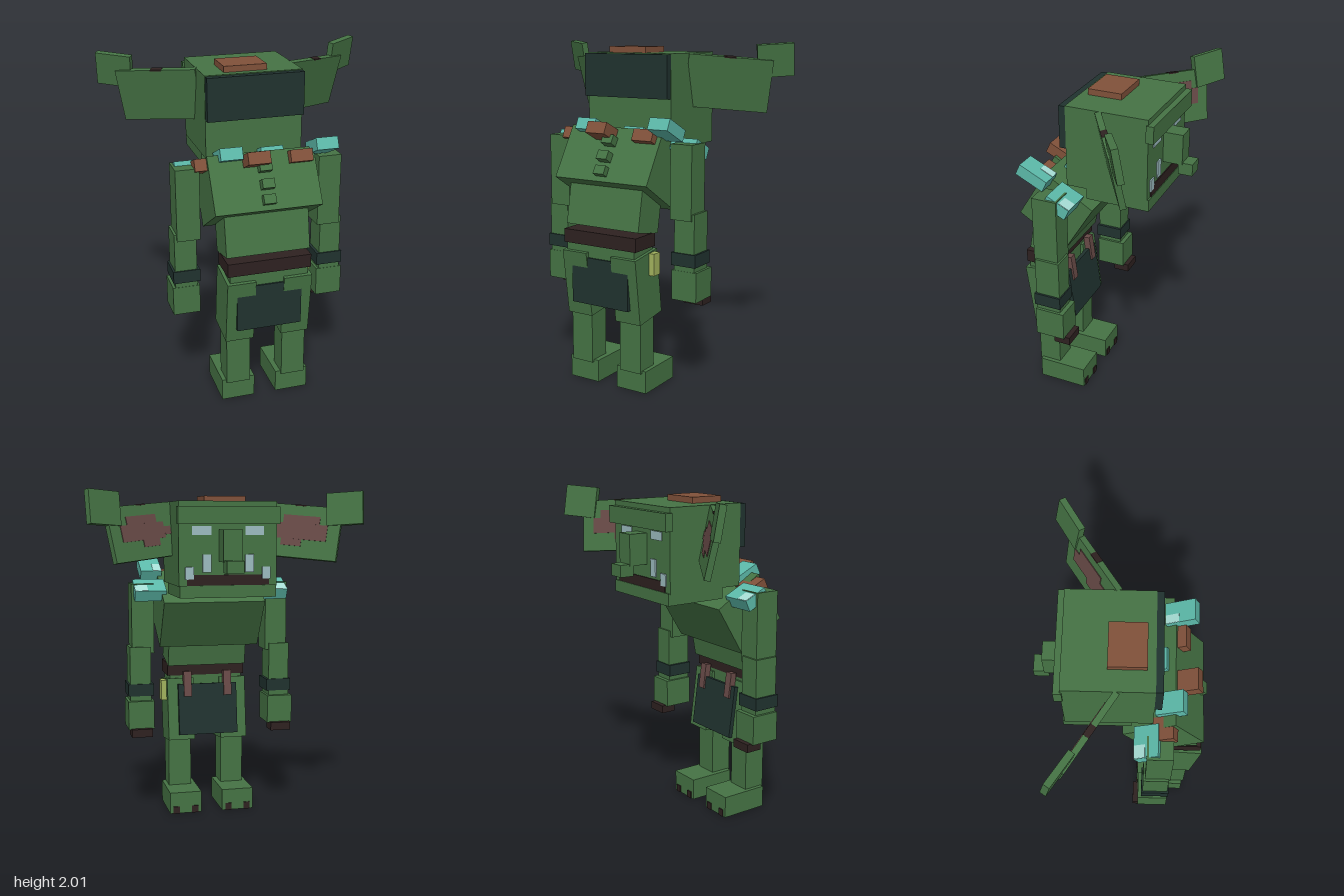
import * as THREE from 'three';

const mat = (name, color) => {
  const m = new THREE.MeshStandardMaterial({ color });
  m.name = name;
  return m;
};

export function createModel() {
  const green = mat('skin green', 0x457344);
  const slate = mat('dark cloth', 0x20322f);
  const maroon = mat('dark leather', 0x2e2120);
  const brown = mat('brown leather', 0x80513a);
  const teal = mat('teal scale', 0x5cb9a9);
  const pale = mat('pale teal', 0xa6dcd4);
  const pink = mat('inner ear', 0x684a47);
  const yellow = mat('pouch yellow', 0xa3b35e);
  const bone = mat('bone', 0x9dbcc0);
  const model = new THREE.Group();

  // Box from its extents, optionally tilted about x through its centre
  const box = (name, m, [x0, x1], [y0, y1], [z0, z1], tilt = 0) => {
    const mesh = new THREE.Mesh(new THREE.BoxGeometry(x1 - x0, y1 - y0, z1 - z0), m);
    mesh.position.set((x0 + x1) / 2, (y0 + y1) / 2, (z0 + z1) / 2);
    mesh.rotation.x = tilt;
    mesh.name = name;
    model.add(mesh);
    return mesh;
  };
  // Same box on both sides
  const pair = (name, m, [x0, x1], y, z, tilt = 0) => {
    box(name + 'Left', m, [x0, x1], y, z, tilt);
    box(name + 'Right', m, [-x1, -x0], y, z, tilt);
  };

  // Head, hair plate and cap
  box('head', green, [-0.287, 0.287], [1.47, 1.95], [-0.32, 0.17]);
  box('jaw', green, [-0.283, 0.283], [1.405, 1.475], [-0.33, 0.05]);
  box('brow', green, [-0.297, 0.297], [1.82, 1.92], [-0.355, -0.31]);
  box('headBackPlate', slate, [-0.285, 0.285], [1.695, 1.945], [0.165, 0.21]);
  box('headTopPatch', brown, [-0.165, 0.087], [1.94, 1.985], [-0.08, 0.125]);

  // Face
  box('nose', green, [-0.055, 0.055], [1.61, 1.79], [-0.435, -0.31]);
  box('noseTip', green, [-0.05, 0.05], [1.55, 1.62], [-0.495, -0.41]);
  box('mouth', maroon, [-0.24, 0.24], [1.475, 1.535], [-0.326, -0.318]);
  pair('eye', bone, [0.1, 0.21], [1.76, 1.81], [-0.325, -0.318]);
  pair('innerTusk', bone, [0.1, 0.15], [1.55, 1.65], [-0.328, -0.318]);
  pair('outerTusk', bone, [0.2, 0.25], [1.51, 1.58], [-0.328, -0.318]);

  // Ears: slabs on an oblique frame, given as fractions along u and v and depth along w
  const V = (x, y, z) => new THREE.Vector3(x, y, z);
  const slab = (name, m, side, origin, u, v, [a0, a1], [b0, b1], [w0, w1]) => {
    const w = u.clone().cross(v).normalize();
    const centre = origin.clone().addScaledVector(u, (a0 + a1) / 2)
      .addScaledVector(v, (b0 + b1) / 2).addScaledVector(w, (w0 + w1) / 2);
    const flip = V(side, 1, 1);
    const ux = u.clone().normalize().multiply(flip);
    const vy = v.clone().normalize().multiply(flip);
    const mesh = new THREE.Mesh(
      new THREE.BoxGeometry(u.length() * (a1 - a0), v.length() * (b1 - b0), w1 - w0), m);
    mesh.quaternion.setFromRotationMatrix(
      new THREE.Matrix4().makeBasis(ux, vy, ux.clone().cross(vy).normalize()));
    mesh.position.copy(centre.multiply(flip));
    mesh.name = name;
    model.add(mesh);
  };
  for (const side of [1, -1]) {
    const s = side > 0 ? 'Left' : 'Right';
    const o = V(0.243, 1.64, -0.055), u = V(0.412, -0.045, -0.265), v = V(0.053, 0.307, 0.042);
    slab('ear' + s, green, side, o, u, v, [0, 1], [0, 1], [-0.035, 0]);
    slab('earNotch' + s, maroon, side, o, u, v, [0.42, 0.56], [0.98, 1.005], [-0.036, 0.001]);
    [[0.2, 0.85, 0.35, 0.65], [0.3, 0.75, 0.65, 0.8], [0.3, 0.55, 0.22, 0.35], [0.1, 0.2, 0.4, 0.55]]
      .forEach(([a, b, c, d]) =>
        slab('innerEar' + s, pink, side, o, u, v, [a, b], [c, d], [-0.039, -0.034]));
    slab('earTip' + s, green, side, V(0.625, 1.81, -0.255), V(0.18, 0.004, -0.115),
      V(0, 0.187, 0.035), [0, 1], [0, 1], [-0.038, 0]);
  }

  // Hunched torso and spine bumps
  box('chest', green, [-0.315, 0.315], [1.125, 1.465], [0.064, 0.407], -0.55);
  box('belly', green, [-0.25, 0.25], [0.945, 1.265], [0.215, 0.425], -0.19);
  [[1.296, 0.455], [1.378, 0.425], [1.463, 0.375]].forEach(([y, z], i) =>
    box('spineBump' + i, green, [-0.036, 0.036], [y - 0.027, y + 0.027], [z - 0.03, z + 0.02], -0.55));

  // Shoulder mantle of tilted scales: material, x range, z range, height offset
  const scales = [
    [teal, -0.48, -0.29, 0.065, 0.23, -0.03],
    [brown, -0.385, -0.25, 0.17, 0.31, -0.04],
    [teal, -0.25, -0.12, 0.18, 0.36, 0],
    [brown, -0.115, 0.015, 0.25, 0.445, -0.05],
    [teal, 0.017, 0.15, 0.14, 0.27, 0],
    [brown, 0.155, 0.287, 0.18, 0.38, -0.05],
    [teal, 0.29, 0.42, 0.23, 0.425, 0],
    [teal, 0.287, 0.48, 0.065, 0.23, -0.03],
  ];
  const tilt = -0.45, thick = 0.07;
  scales.forEach(([m, x0, x1, z0, z1, off], i) => {
    const zc = (z0 + z1) / 2, d = (z1 - z0 - 0.03) / 0.9;
    const top = 1.415 + 0.5 * zc + off, yc = top - thick * 0.55;
    const scale = box('mantleScale' + i, m, [x0, x1], [yc - thick / 2, yc + thick / 2], [zc - d / 2, zc + d / 2], tilt);
    // Pale glints on the teal scales
    if (m === teal && i > 2 || i === 0) {
      const side = i === 6 || i === 0 ? -1 : 1, w = x1 - x0;
      const glint = new THREE.Mesh(new THREE.BoxGeometry(w * 0.4, 0.006, d * 0.45), pale);
      glint.position.set(side * w * 0.29, thick / 2, -d * 0.26);
      glint.name = 'scaleGlint' + i;
      scale.add(glint);
    }
  });

  // Belt, cloths and pouch
  box('belt', maroon, [-0.25, 0.25], [0.86, 0.94], [0.275, 0.48]);
  box('pelvis', green, [-0.235, 0.235], [0.73, 0.86], [0.28, 0.47]);
  box('backCloth', slate, [-0.195, 0.195], [0.505, 0.785], [0.44, 0.48]);
  box('frontCloth', slate, [-0.19, 0.19], [0.485, 0.81], [0.205, 0.23], 0.13);
  pair('beltStrap', pink, [0.105, 0.155], [0.73, 0.89], [0.215, 0.255], 0.13);
  box('pouch', yellow, [0.235, 0.29], [0.7, 0.83], [0.285, 0.35]);

  // Legs
  pair('thigh', green, [0.085, 0.255], [0.435, 0.83], [0.235, 0.467], 0.13);
  pair('shin', green, [0.1, 0.245], [0.12, 0.5], [0.28, 0.42]);
  pair('foot', green, [0.068, 0.27], [0, 0.135], [0.1, 0.405]);
  pair('innerToenail', maroon, [0.09, 0.13], [0, 0.045], [0.094, 0.13]);
  pair('outerToenail', maroon, [0.21, 0.25], [0, 0.045], [0.094, 0.13]);

  // Arms
  pair('upperArm', green, [0.357, 0.495], [1.03, 1.46], [0.138, 0.288]);
  pair('forearm', green, [0.38, 0.51], [0.72, 1.07], [0.127, 0.278]);
  pair('wristband', slate, [0.363, 0.522], [0.765, 0.84], [0.12, 0.286]);
  pair('hand', green, [0.365, 0.526], [0.56, 0.735], [0.1, 0.28]);
  pair('claws', maroon, [0.38, 0.51], [0.515, 0.565], [0.07, 0.17]);

  return model;
}
